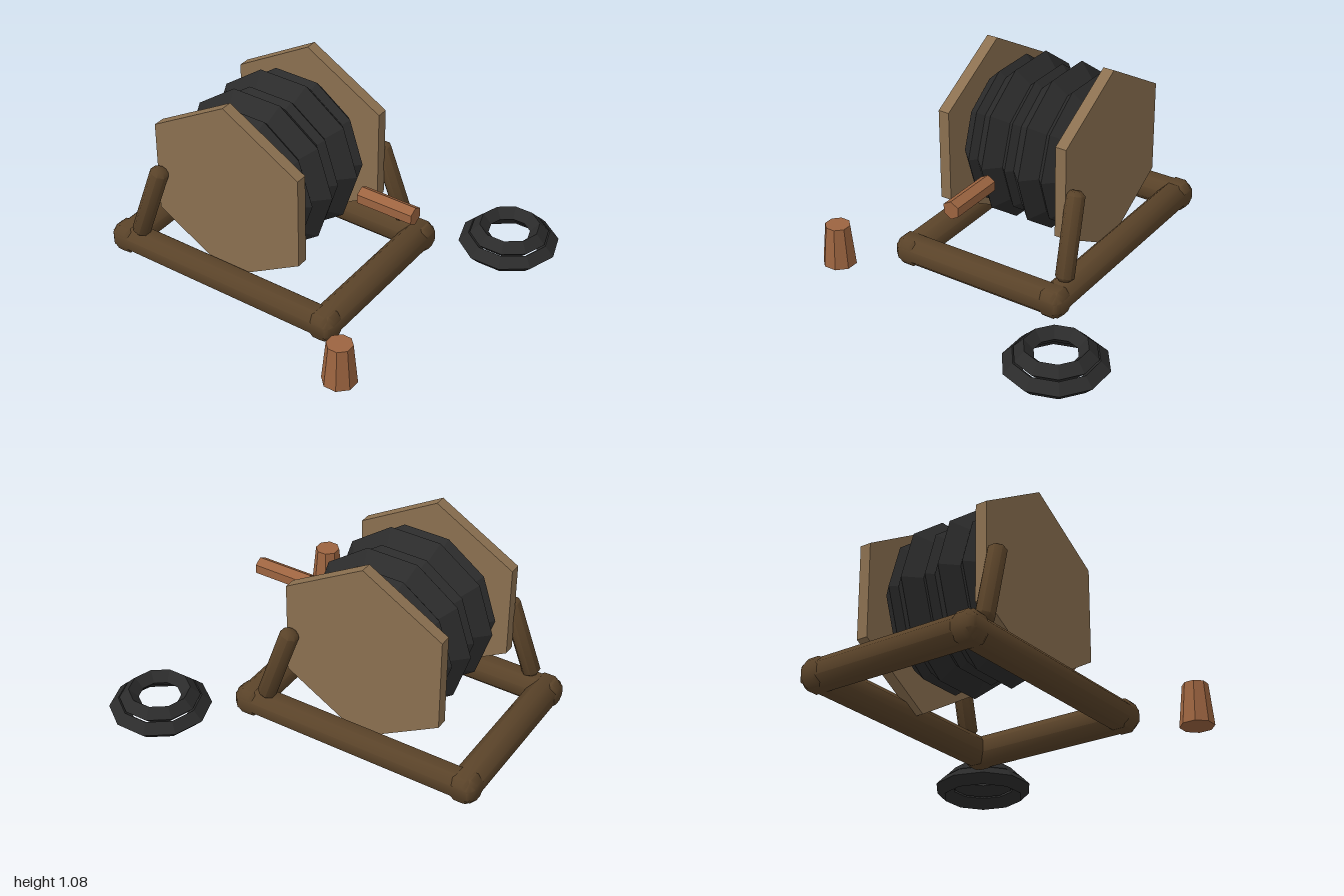
import * as THREE from 'three';
import { toCreasedNormals } from 'three/addons/utils/BufferGeometryUtils.js';

const mat = (name, color, flatShading = false) => {
  const m = new THREE.MeshStandardMaterial({ color, flatShading });
  m.name = name;
  return m;
};

export function createModel() {
  const group = new THREE.Group();
  const darkWood = mat('darkWood', 0x5a4329);
  const paleWood = mat('paleWood', 0x8b7050, true);
  const rubber = mat('blackRubber', 0x2b2b2b, true);
  const copper = mat('copperWood', 0x9c6440, true);

  const add = (name, geometry, material, x = 0, y = 0, z = 0) => {
    const mesh = new THREE.Mesh(geometry, material);
    mesh.name = name;
    mesh.position.set(x, y, z);
    group.add(mesh);
    return mesh;
  };

  // Eight-sided log with chamfered ends, running from a to b; r is the flat-to-centre distance
  const log = (name, a, b, r, chamfer) => {
    const start = new THREE.Vector3(...a), end = new THREE.Vector3(...b);
    const dir = end.clone().sub(start), h = dir.length() / 2;
    const R = r / Math.cos(Math.PI / 8);
    const profile = [[0, -h], [R - chamfer, -h], [R, chamfer - h], [R, h - chamfer], [R - chamfer, h], [0, h]]
      .map(([x, y]) => new THREE.Vector2(x, y));
    const geo = toCreasedNormals(new THREE.LatheGeometry(profile, 8, Math.PI / 8), 0.9);
    const mesh = add(name, geo, darkWood);
    mesh.position.copy(start).add(end).multiplyScalar(0.5);
    mesh.quaternion.setFromUnitVectors(new THREE.Vector3(0, 1, 0), dir.normalize());
  };

  // Rectangular base frame
  const y = 0.0775;
  log('frontBeam', [-1, y, 0.515], [0.41, y, 0.515], 0.0755, 0.03);
  log('backBeam', [-1, y, -0.355], [0.41, y, -0.355], 0.0755, 0.03);
  log('rightBeam', [-0.923, y, -0.43], [-0.923, y, 0.59], 0.0765, 0.03);
  log('leftBeam', [0.334, y, -0.43], [0.334, y, 0.59], 0.0765, 0.03);

  // Two slanted struts, opposite each other about the drum
  log('frontStrut', [-0.835, 0.145, 0.528], [-0.69, 0.585, 0.5], 0.046, 0.02);
  log('backStrut', [0.245, 0.145, -0.362], [0.1, 0.585, -0.334], 0.046, 0.02);

  // Hexagonal side plates and axle
  const cx = -0.295, cy = 0.57, cz = 0.085;
  const hexPrism = (r, depth) => new THREE.CylinderGeometry(r, r, depth, 6).rotateX(Math.PI / 2);
  add('frontPlate', hexPrism(0.508, 0.062), paleWood, cx, cy, 0.436);
  add('backPlate', hexPrism(0.508, 0.062), paleWood, cx, cy, -0.27);
  add('axle', hexPrism(0.178, 0.68), paleWood, cx, cy, cz);

  // Drum of alternating narrow and wide rings
  for (let i = 0; i < 5; i++) {
    const R = i % 2 ? 0.375 : 0.332;
    add('drumRing', new THREE.TorusGeometry(R, 0.08, 4, 10), rubber, cx, cy, cz + (2 - i) * 0.111);
  }

  // Loose pair of stacked rings
  const flatRing = (R, t) => new THREE.TorusGeometry(R, t, 4, 10).rotateX(Math.PI / 2);
  add('looseLowerRing', flatRing(0.217, 0.05), rubber, 0.732, 0.05, -0.627);
  add('looseUpperRing', flatRing(0.16, 0.05), rubber, 0.732, 0.105, -0.627);

  // Hexagonal crank rod
  const rod = new THREE.CylinderGeometry(0.049, 0.049, 0.315, 6).rotateZ(Math.PI / 2).rotateX(Math.PI / 2);
  add('crankRod', rod, copper, 0.4175, 0.572, 0.085);

  // Tapered plug
  const plug = new THREE.CylinderGeometry(0.067, 0.09, 0.225, 8).rotateY(Math.PI / 8);
  add('plug', plug, copper, 0.61, 0.1625, 0.788);

  return group;
}
